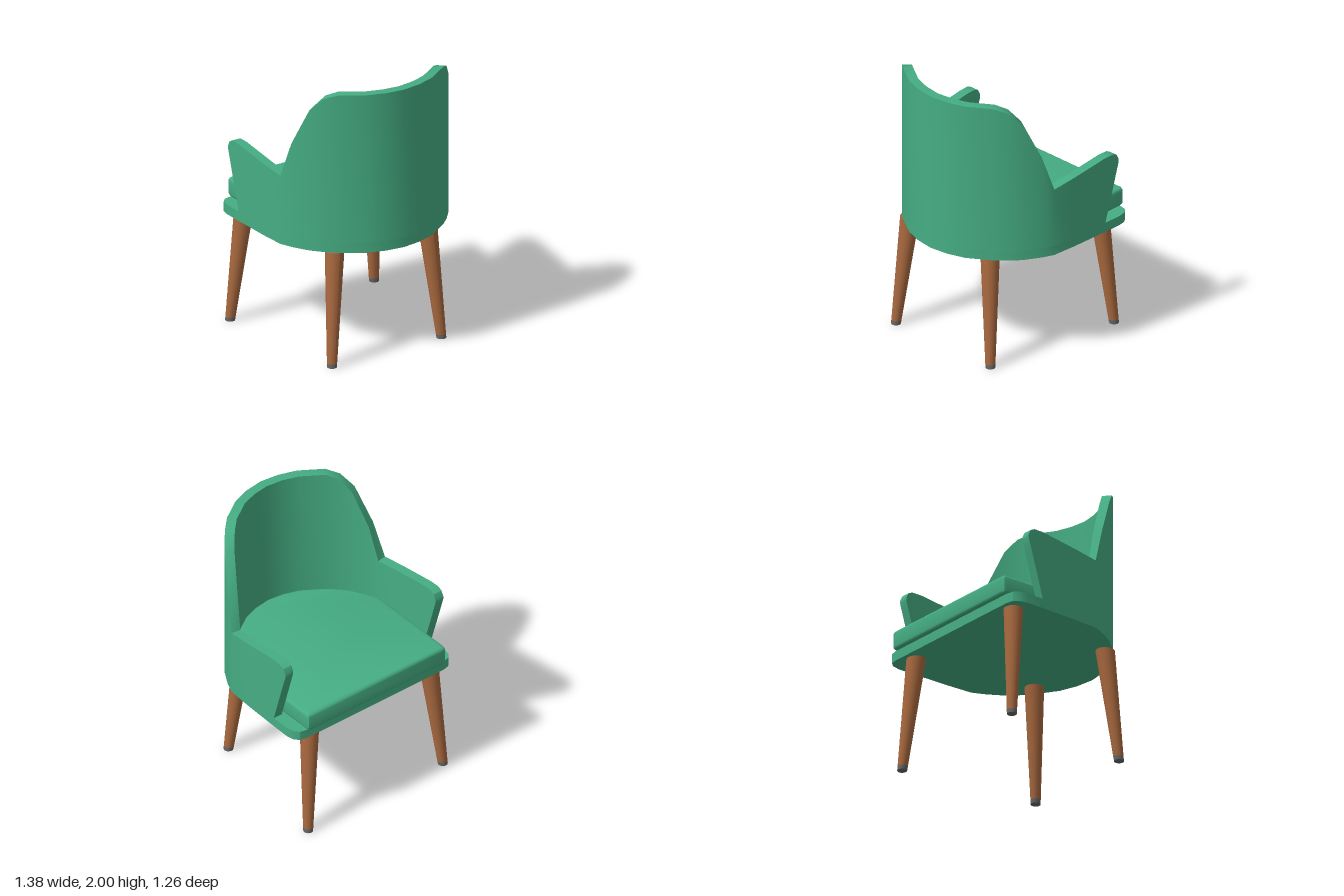
import * as THREE from 'three';
import { toCreasedNormals } from 'three/addons/utils/BufferGeometryUtils.js';

const fabric = new THREE.MeshStandardMaterial({ color: 0x45ad83 });
fabric.name = 'green fabric';
const wood = new THREE.MeshStandardMaterial({ color: 0xa9693f });
wood.name = 'brown wood';
const rubber = new THREE.MeshStandardMaterial({ color: 0x666666 });
rubber.name = 'grey foot';

const PLATE_Y = 0.83, SEAT_Y = 0.9;

// Left half of the shell outline, arm tip to middle of the back: x, z, rim height
const half = [
  [0.692, -0.49, 1.345], [0.692, -0.47, 1.385], [0.692, -0.437, 1.4], [0.69, -0.363, 1.4],
  [0.683, -0.07, 1.36], [0.672, 0.115, 1.335], [0.637, 0.2, 1.6], [0.57, 0.317, 1.87],
  [0.505, 0.393, 1.965], [0.43, 0.462, 2], [0.268, 0.568, 2], [0.138, 0.612, 2], [0, 0.63, 2],
];
const mirrored = (pts) => [...pts, ...pts.slice(0, -1).reverse().map(([x, ...rest]) => [-x, ...rest])];
const outline = mirrored(half);

// Outline moved inward by d
function inset(d) {
  return outline.map(([x, z], i) => {
    const a = outline[Math.max(i - 1, 0)], b = outline[Math.min(i + 1, outline.length - 1)];
    const tx = b[0] - a[0], tz = b[1] - a[1], len = Math.hypot(tx, tz);
    return [x - (tz / len) * d, z + (tx / len) * d];
  });
}

// Back and arms as one wall: four-cornered sections swept along the outline
function shellGeometry() {
  const inner = inset(0.068);
  const pos = [], index = [];
  outline.forEach(([x, z, top], i) => {
    const bottom = SEAT_Y + Math.max(0, (-0.363 - z) / 0.122) * 0.41;
    const [ix, iz] = inner[i];
    pos.push(x, bottom, z, x, top, z, ix, top, iz, ix, bottom, iz);
  });
  const n = outline.length;
  for (let i = 0; i < n - 1; i++) {
    for (let k = 0; k < 4; k++) {
      const a = i * 4 + k, b = i * 4 + (k + 1) % 4;
      index.push(a, b, b + 4, a, b + 4, a + 4);
    }
  }
  const e = (n - 1) * 4;
  index.push(0, 3, 2, 0, 2, 1, e, e + 1, e + 2, e, e + 2, e + 3);
  const g = new THREE.BufferGeometry();
  g.setAttribute('position', new THREE.Float32BufferAttribute(pos, 3));
  g.setIndex(index);
  return toCreasedNormals(g, 0.6);
}

// Horizontal slab from an x, z outline
function slab(pts, y, height, bevel) {
  const shape = new THREE.Shape(pts.map(([x, z]) => new THREE.Vector2(x, -z)));
  const g = new THREE.ExtrudeGeometry(shape, {
    depth: height - 2 * bevel, bevelEnabled: bevel > 0,
    bevelSize: bevel, bevelThickness: bevel, bevelOffset: -bevel, bevelSegments: 4,
  });
  g.rotateX(-Math.PI / 2);
  g.translate(0, y + bevel, 0);
  return toCreasedNormals(g, 0.6);
}

function addMesh(parent, name, geometry, material) {
  const m = new THREE.Mesh(geometry, material);
  m.name = name;
  parent.add(m);
}

// Tapered round piece between two heights, leaning along the line of its leg
function legPiece(top, foot, y0, y1) {
  const radius = (y) => 0.034 + 0.033 * y / PLATE_Y;
  const g = new THREE.CylinderGeometry(radius(y1), radius(y0), y1 - y0, 20);
  g.translate(0, (y0 + y1) / 2, 0);
  const p = g.attributes.position;
  for (let i = 0; i < p.count; i++) {
    const t = p.getY(i) / PLATE_Y;
    p.setX(i, p.getX(i) + foot[0] + (top[0] - foot[0]) * t);
    p.setZ(i, p.getZ(i) + foot[1] + (top[1] - foot[1]) * t);
  }
  g.computeVertexNormals();
  return g;
}

export function createModel() {
  const chair = new THREE.Group();
  chair.name = 'armchair';

  addMesh(chair, 'backAndArms', shellGeometry(), fabric);

  // Base plate with rounded front corners
  const plate = mirrored([
    [0.6, -0.606], [0.65, -0.594], [0.68, -0.56], [0.692, -0.5], ...half.slice(3).map(([x, z]) => [x, z]),
  ]);
  addMesh(chair, 'seatBase', slab(plate, PLATE_Y, SEAT_Y - PLATE_Y, 0), fabric);

  // Cushion with soft edges
  const mid = (outline.length - 1) / 2;
  const cushion = mirrored([
    [0.575, -0.633], [0.597, -0.625], [0.605, -0.6], ...inset(0.078).slice(4, mid + 1),
  ]);
  addMesh(chair, 'seatCushion', slab(cushion, SEAT_Y, 0.14, 0.025), fabric);

  // Splayed legs: top x, z and foot x, z
  const legs = {
    backLeftLeg: [[0.342, 0.403], [0.41, 0.47]],
    backRightLeg: [[-0.42, 0.403], [-0.487, 0.47]],
    frontLeftLeg: [[0.496, -0.508], [0.563, -0.576]],
    frontRightLeg: [[-0.55, -0.508], [-0.617, -0.576]],
  };
  for (const [name, [top, foot]] of Object.entries(legs)) {
    const leg = new THREE.Group();
    leg.name = name;
    addMesh(leg, 'legShaft', legPiece(top, foot, 0.03, PLATE_Y), wood);
    addMesh(leg, 'footCap', legPiece(top, foot, 0, 0.03), rubber);
    chair.add(leg);
  }
  return chair;
}
